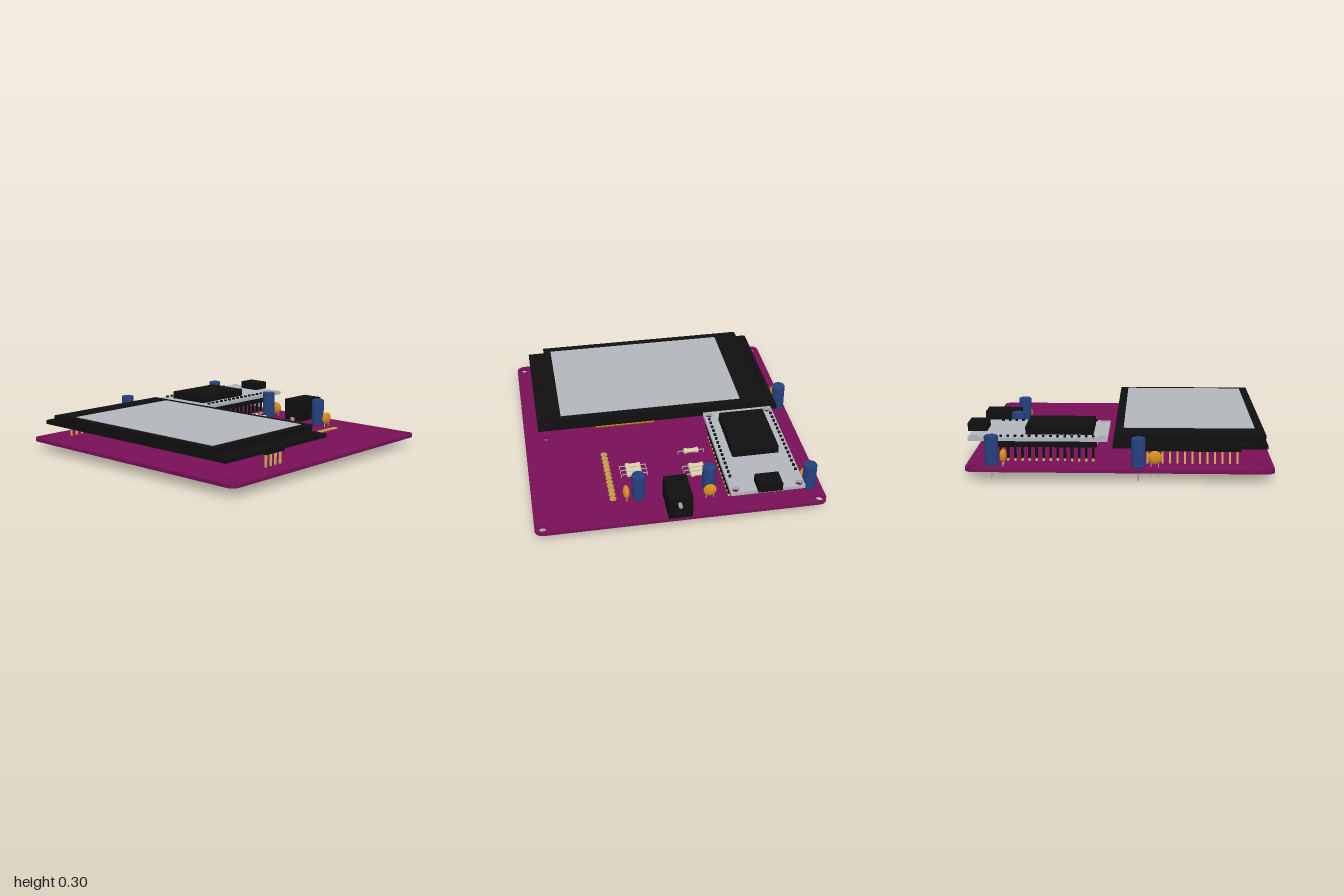
import * as THREE from 'three';

export function createModel() {
  const model = new THREE.Group();
  model.name = 'circuitBoardAssembly';
  const mat = (name, color) => {
    const m = new THREE.MeshStandardMaterial({ color });
    m.name = name;
    return m;
  };
  const purple = mat('purple', 0x780f58), black = mat('black', 0x0f0f0f), grey = mat('grey', 0xb2b6ba);
  const blue = mat('blue', 0x24417f), orange = mat('orange', 0xd68c22), beige = mat('beige', 0xd8cdaa);
  const gold = mat('gold', 0xd8b252), silver = mat('silver', 0xa8a8a8);
  orange.side = THREE.DoubleSide;

  const add = (name, geometry, material, x = 0, y = 0, z = 0, parent = model) => {
    const mesh = new THREE.Mesh(geometry, material);
    mesh.name = name;
    mesh.position.set(x, y, z);
    parent.add(mesh);
    return mesh;
  };
  const group = (name, x = 0, y = 0, z = 0) => {
    const g = new THREE.Group();
    g.name = name;
    g.position.set(x, y, z);
    model.add(g);
    return g;
  };
  // Box given by its limits on each axis
  const block = (name, m, x0, x1, y0, y1, z0, z1, parent = model) =>
    add(name, new THREE.BoxGeometry(x1 - x0, y1 - y0, z1 - z0), m,
      (x0 + x1) / 2, (y0 + y1) / 2, (z0 + z1) / 2, parent);

  // Flat plate with rounded corners and round holes [x, z, radius]
  function plate(name, m, x0, x1, y0, y1, z0, z1, r, holes, parent = model) {
    const s = new THREE.Shape();
    const h = Math.PI / 2;
    s.absarc(x1 - r, z1 - r, r, 0, h);
    s.absarc(x0 + r, z1 - r, r, h, 2 * h);
    s.absarc(x0 + r, z0 + r, r, 2 * h, 3 * h);
    s.absarc(x1 - r, z0 + r, r, 3 * h, 4 * h);
    for (const [x, z, q] of holes) {
      s.holes.push(new THREE.Path().absarc(x, z, q, 0, Math.PI * 2, true));
    }
    const g = new THREE.ExtrudeGeometry(s, { depth: y1 - y0, bevelEnabled: false, curveSegments: 8 });
    g.rotateX(Math.PI / 2);
    return add(name, g, m, 0, y1, 0, parent);
  }
  const corners = (x0, x1, z0, z1, r) => [[x0, z0, r], [x1, z0, r], [x0, z1, r], [x1, z1, r]];
  const row = (n, a, b) => Array.from({ length: n }, (_, i) => a + (b - a) * i / (n - 1));

  // Main board
  const displayHoles = corners(-0.805, 0.815, 0.025, 0.895, 0.023);
  const padRow = row(12, -0.715, -0.235);
  plate('mainBoard', purple, -0.97, 0.967, 0.066, 0.09, -0.975, 0.995, 0.055, [
    ...corners(-0.922, 0.915, -0.928, 0.945, 0.028), ...displayHoles,
    ...padRow.map(z => [0.432, z, 0.012])]);

  // Open row of plated holes
  const ring = new THREE.LatheGeometry([[0.011, 0.063], [0.024, 0.063], [0.024, 0.096], [0.011, 0.096], [0.011, 0.063]]
    .map(p => new THREE.Vector2(...p)), 8);
  for (const z of padRow) add('platedHole', ring, gold, 0.432, 0, z);

  // Display with raised panel, screen, connector block and ribbon
  const display = group('display');
  plate('displayBoard', black, -0.86, 0.87, 0.198, 0.225, -0.035, 0.955, 0.004, displayHoles, display);
  block('displayPanel', black, -0.77, 0.755, 0.225, 0.27, -0.027, 0.95, display);
  block('screen', grey, -0.597, 0.702, 0.269, 0.274, 0.028, 0.892, display);
  block('displayConnector', black, -0.05, 0.515, 0.147, 0.198, 0.07, 0.27, display);
  const ribbonPath = [[0.0, 0.205], [-0.026, 0.19], [-0.02, 0.172], [0.06, 0.145], [0.34, 0.145]];
  const ribbon = new THREE.PlaneGeometry(0.42, 1, 1, 4);
  const rp = ribbon.attributes.position;
  for (let i = 0; i < rp.count; i++) {
    const [z, y] = ribbonPath[Math.floor(i / 2)];
    rp.setXYZ(i, rp.getX(i) * (i > 7 ? 0.6 : 1), y, z);
  }
  ribbon.computeVertexNormals();
  add('ribbonCable', ribbon, orange, 0.25, 0, 0, display);

  // Pin headers below the display
  function displayHeader(x, n, z0, z1) {
    block('headerStrip', black, x - 0.022, x + 0.022, 0.175, 0.198, z0 - 0.022, z1 + 0.022);
    for (const z of row(n, z0, z1)) {
      block('headerPin', gold, x - 0.006, x + 0.006, 0.055, 0.176, z - 0.006, z + 0.006);
      block('headerPinTop', black, x - 0.007, x + 0.007, 0.224, 0.25, z - 0.007, z + 0.007);
    }
  }
  displayHeader(-0.817, 14, 0.14, 0.765);
  displayHeader(0.822, 4, 0.39, 0.53);

  // Controller module on two pin rows
  const module = group('controllerModule');
  plate('moduleBoard', grey, -0.8, -0.305, 0.225, 0.25, -0.975, -0.07, 0.003,
    corners(-0.766, -0.34, -0.94, -0.106, 0.027), module);
  block('moduleChip', black, -0.715, -0.4, 0.25, 0.303, -0.61, -0.165, module);
  for (const z of row(16, -0.59, -0.185)) {
    block('chipContact', black, -0.72, -0.395, 0.25, 0.262, z - 0.006, z + 0.006, module);
  }
  block('usbSocket', black, -0.64, -0.48, 0.25, 0.305, -1, -0.873, module);
  for (const x of [-0.778, -0.333]) {
    block('moduleHeaderStrip', black, x - 0.022, x + 0.022, 0.187, 0.225, -0.835, -0.14, module);
    for (const z of row(15, -0.808, -0.163)) {
      block('modulePin', black, x - 0.008, x + 0.008, 0.11, 0.262, z - 0.008, z + 0.008, module);
      block('modulePinEnd', gold, x - 0.007, x + 0.007, 0.05, 0.111, z - 0.007, z + 0.007, module);
    }
  }

  // Power jack with round opening facing the back
  const jack = group('powerJack');
  block('jackBase', black, -0.058, 0.1, 0.09, 0.17, -0.93, -0.73, jack);
  block('jackTop', black, -0.058, 0.1, 0.17, 0.25, -0.93, -0.73, jack);
  const face = new THREE.Shape();
  face.moveTo(-0.079, -0.08).lineTo(0.079, -0.08).lineTo(0.079, 0.08).lineTo(-0.079, 0.08);
  face.holes.push(new THREE.Path().absarc(0, 0, 0.055, 0, Math.PI * 2, true));
  add('jackFace', new THREE.ExtrudeGeometry(face, { depth: 0.045, bevelEnabled: false }), black, 0.021, 0.17, -0.975, jack);
  const centrePin = add('jackPin', new THREE.CylinderGeometry(0.013, 0.013, 0.04, 10), silver, 0.021, 0.17, -0.945, jack);
  centrePin.rotation.x = Math.PI / 2;
  add('jackTerminal', new THREE.TorusGeometry(0.017, 0.006, 6, 14), silver, 0.021, 0.05, -0.79, jack);
  block('jackTab', silver, 0.005, 0.037, 0.06, 0.115, -0.735, -0.722, jack);
  block('jackSideTab', gold, -0.07, -0.057, 0.06, 0.115, -0.8, -0.765, jack);

  // Tall blue capacitors
  const canProfile = [[0, 0], [0.041, 0], [0.045, 0.006], [0.045, 0.02], [0.041, 0.028], [0.045, 0.036],
    [0.045, 0.186], [0.041, 0.192], [0, 0.192]].map(p => new THREE.Vector2(...p));
  const can = new THREE.LatheGeometry(canProfile, 20);
  const lead = new THREE.CylinderGeometry(0.004, 0.004, 1, 6);
  const addLead = (parent, x, y0, y1) => {
    add('lead', lead, silver, x, (y0 + y1) / 2, 0, parent).scale.y = y1 - y0;
  };
  for (const [x, z] of [[-0.88, -0.81], [-0.213, -0.72], [0.262, -0.73], [-0.915, 0.13]]) {
    const c = group('tallCapacitor', x, 0, z);
    add('capacitorCan', can, blue, 0, 0.092, 0, c);
    for (const s of [-1, 1]) addLead(c, s * 0.018, 0.005, 0.1);
  }

  // Small disc capacitors
  const disc = new THREE.SphereGeometry(0.045, 18, 12);
  for (const [x, z, turn] of [[-0.88, -0.735, 0], [-0.205, -0.803, 0], [0.345, -0.73, 1], [-0.905, 0.235, 1]]) {
    const c = group('discCapacitor', x, 0, z);
    c.rotation.y = turn * Math.PI / 2;
    add('capacitorDisc', disc, orange, 0, 0.152, 0, c).scale.z = 0.5;
    for (const s of [-1, 1]) addLead(c, s * 0.024, 0.025, 0.125);
  }

  // Resistors with bent leads
  const resistorProfile = [[0, -0.054], [0.017, -0.052], [0.021, -0.045], [0.021, -0.032], [0.016, -0.024],
    [0.016, 0.024], [0.021, 0.032], [0.021, 0.045], [0.017, 0.052], [0, 0.054]].map(p => new THREE.Vector2(...p));
  const resistorBody = new THREE.LatheGeometry(resistorProfile, 12).rotateZ(Math.PI / 2);
  function resistor(x, z) {
    const r = group('resistor', x, 0, z);
    add('resistorBody', resistorBody, beige, 0, 0.114, 0, r);
    const bar = add('resistorLead', lead, silver, 0, 0.114, 0, r);
    bar.rotation.z = Math.PI / 2;
    bar.scale.y = 0.18;
    for (const s of [-1, 1]) addLead(r, s * 0.09, 0.03, 0.117);
  }
  for (const z of [-0.575, -0.53, -0.485, -0.315]) resistor(-0.172, z);
  for (const z of [-0.505, -0.46, -0.415]) resistor(0.256, z);
  for (const z of row(9, 0.16, 0.54)) resistor(-0.445, z);

  return model;
}
